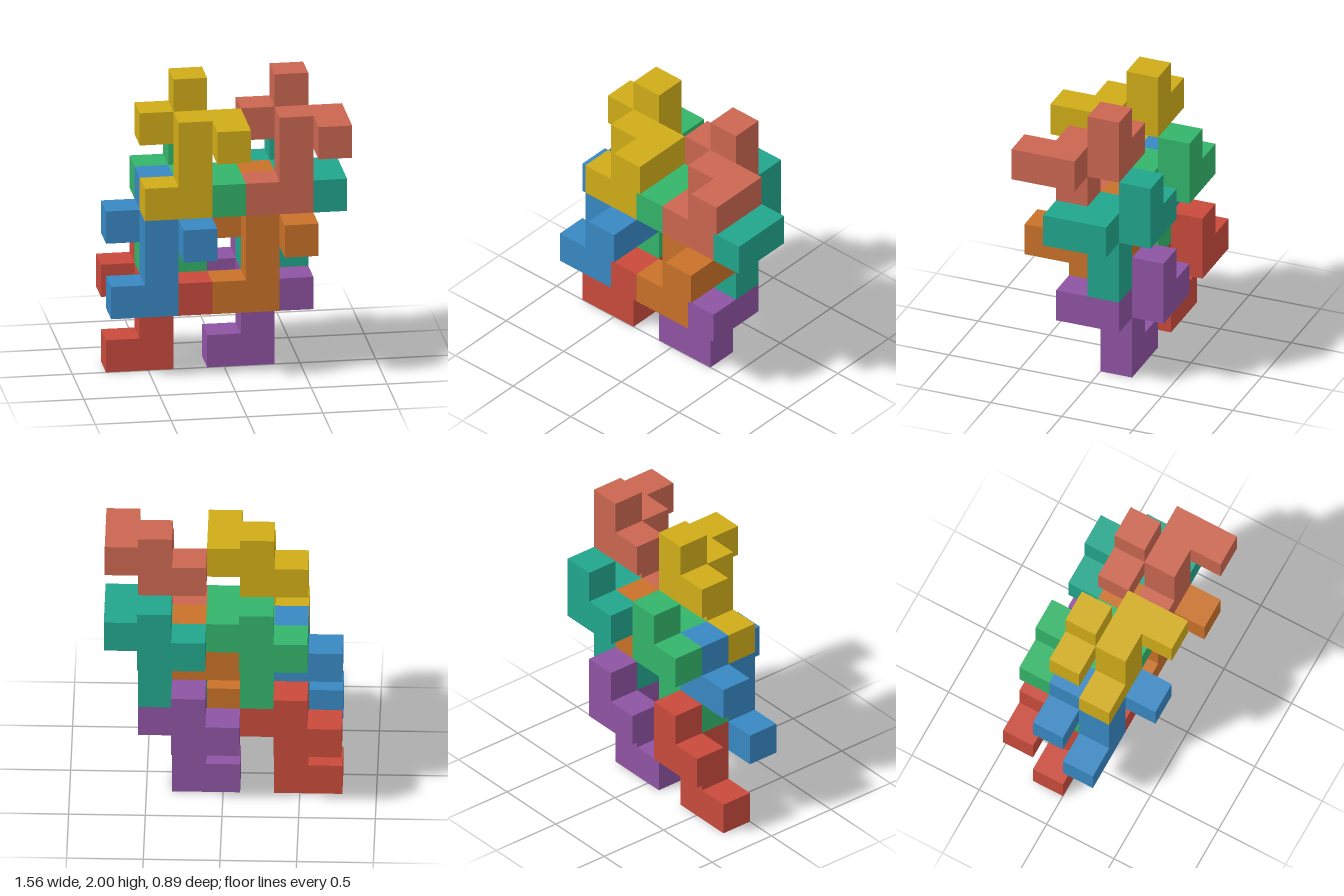
import * as THREE from 'three';
import { mergeGeometries } from 'three/addons/utils/BufferGeometryUtils.js';

const U = 2 / 9; // edge of one cube

// Cubes of one puzzle piece, relative to the foot of its upright
const CELLS = [
  [0, 0, 0], [0, 1, 0], [0, 2, 0],   // upright
  [-1, 0, 0],                        // toe
  [0, 2, -1], [0, 3, -1], [-1, 2, -1], // rear arm
  [1, 2, 0], [1, 2, 1],              // front arm
];

// Grid place of each piece: column (x), row (y), layer (z, back to front)
const PIECES = [
  ['redPiece', 0xc84a3c, [1, 0, 1]],
  ['purplePiece', 0x8e53a2, [4, 0, 1]],
  ['bluePiece', 0x3888c2, [1, 2, 2]],
  ['orangePiece', 0xc87128, [4, 2, 2]],
  ['greenPiece', 0x33b46a, [2, 3, 1]],
  ['tealPiece', 0x21a58c, [5, 3, 1]],
  ['yellowPiece', 0xd0ac18, [2, 5, 2]],
  ['salmonPiece', 0xca6650, [5, 5, 2]],
];

// Outward direction of each cube side, with the turn about x and y that faces it
const Q = Math.PI / 2;
const SIDES = [
  [[0, 0, 1], 0, 0], [[0, 0, -1], 0, 2 * Q],
  [[1, 0, 0], 0, Q], [[-1, 0, 0], 0, -Q],
  [[0, 1, 0], -Q, 0], [[0, -1, 0], Q, 0],
];

// Outer skin of a piece: only the sides with no neighbouring cube
function pieceGeometry() {
  const filled = new Set(CELLS.map(String));
  const faces = [];
  for (const [x, y, z] of CELLS) {
    for (const [[dx, dy, dz], rx, ry] of SIDES) {
      if (filled.has(String([x + dx, y + dy, z + dz]))) continue;
      faces.push(new THREE.PlaneGeometry(U, U)
        .translate(0, 0, U / 2)
        .rotateX(rx).rotateY(ry)
        .translate(x * U, y * U, z * U));
    }
  }
  return mergeGeometries(faces);
}

export function createModel() {
  const model = new THREE.Group();
  model.name = 'interlockingPieces';
  const geometry = pieceGeometry();
  for (const [name, color, [col, row, layer]] of PIECES) {
    const piece = new THREE.Mesh(geometry, new THREE.MeshStandardMaterial({ color }));
    piece.name = name;
    piece.position.set((col - 3) * U, (row + 0.5) * U, (layer - 1.5) * U);
    model.add(piece);
  }
  return model;
}
